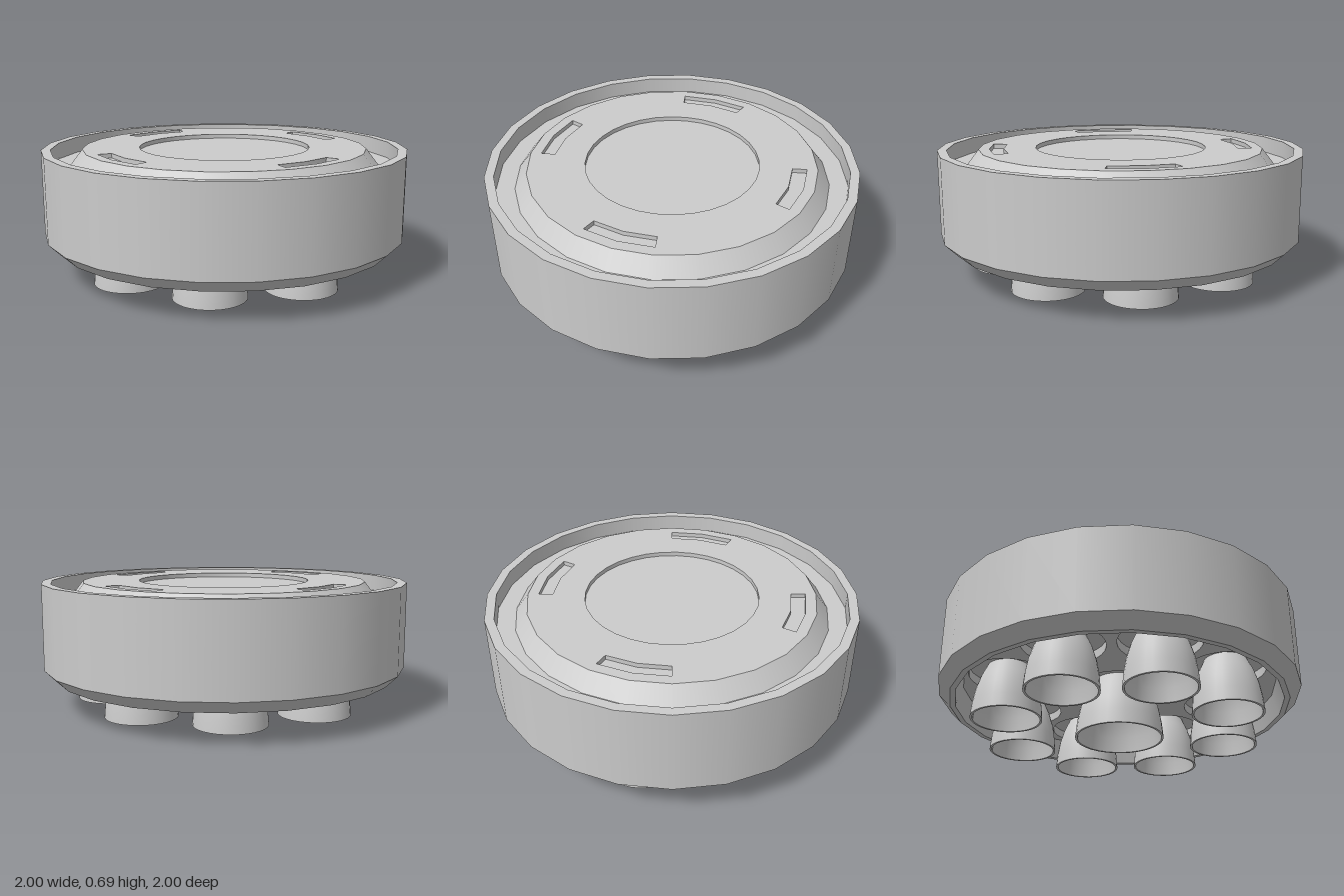
import * as THREE from 'three';
import { mergeGeometries, toCreasedNormals } from 'three/addons/utils/BufferGeometryUtils.js';

const SIDES = 24;
const material = new THREE.MeshStandardMaterial({ color: 0xcccccc });

function addMesh(parent, name, geometry) {
  const mesh = new THREE.Mesh(geometry, material);
  mesh.name = name;
  parent.add(mesh);
  return mesh;
}

// Lathe with a hard edge at every profile point, smooth around the axis
function bandedLathe(profile, sides) {
  const bands = [];
  for (let i = 0; i < profile.length - 1; i++) {
    const pair = [profile[i], profile[i + 1]].map(([r, y]) => new THREE.Vector2(r, y));
    bands.push(new THREE.LatheGeometry(pair, sides));
  }
  return mergeGeometries(bands);
}

function ringPoints(r, sides, cx = 0, cy = 0) {
  return Array.from({ length: sides }, (_, i) => {
    const a = (i / sides) * Math.PI * 2;
    return new THREE.Vector2(cx + r * Math.cos(a), cy + r * Math.sin(a));
  });
}

// Round horizontal plate pierced by holes
function piercedPlate(radius, holes, thickness, y) {
  const shape = new THREE.Shape(ringPoints(radius, SIDES));
  shape.holes = holes.map((points) => new THREE.Path(points));
  const geometry = new THREE.ExtrudeGeometry(shape, { depth: thickness, bevelEnabled: false });
  geometry.rotateX(-Math.PI / 2).translate(0, y, 0);
  return toCreasedNormals(geometry, Math.PI / 6);
}

function disc(radius, y, facing) {
  return new THREE.CircleGeometry(radius, SIDES).rotateX((-facing * Math.PI) / 2).translate(0, y, 0);
}

// Hollow bell nozzle, thin wall, closed at the throat
function nozzleGeometry(mouth, bottom, top) {
  const h = top - bottom;
  const outline = [[1, 0], [0.965, 0.25], [0.9, 0.5], [0.78, 0.75], [0.6, 1]];
  const wall = 0.012;
  const outer = outline.map(([r, t]) => new THREE.Vector2(r * mouth, bottom + t * h));
  const inner = outline.map(([r, t]) => new THREE.Vector2(r * mouth - wall, bottom + t * h)).reverse();
  return mergeGeometries([
    new THREE.LatheGeometry(outer, 32),
    new THREE.LatheGeometry(inner, 32),
    bandedLathe([[mouth - wall, bottom], [mouth, bottom]], 32),
    disc(0.6 * mouth, top - 0.01, -1),
  ]);
}

export function createModel() {
  const model = new THREE.Group();
  model.name = 'engineStage';

  // Outer shell: skirt, lower bevel, side, rim, groove and raised deck edge
  addMesh(model, 'shell', bandedLathe([
    [0.87, 0.28], [0.905, 0.165], [0.935, 0.165], [1, 0.23], [1, 0.69],
    [0.95, 0.69], [0.95, 0.6], [0.85, 0.6], [0.78, 0.69],
  ], SIDES));

  // Top deck with a round recess and four curved slots
  const deckHoles = [ringPoints(0.47, 32)];
  for (let i = 0; i < 4; i++) {
    const at = (r, step) => {
      const a = (i * Math.PI) / 2 + (step * Math.PI) / 12;
      return new THREE.Vector2(r * Math.cos(a), r * Math.sin(a));
    };
    deckHoles.push([at(0.645, -1), at(0.645, 0), at(0.645, 1), at(0.722, 1), at(0.722, 0), at(0.722, -1)]);
  }
  addMesh(model, 'deck', piercedPlate(0.78, deckHoles, 0.025, 0.665));
  addMesh(model, 'recessFloor', disc(0.78, 0.666, 1));

  // Underside plate with a socket for every nozzle
  const spots = Array.from({ length: 8 }, (_, i) => {
    const a = (i * Math.PI) / 4;
    return [0.63 * Math.cos(a), 0.63 * Math.sin(a)];
  });
  const sockets = [ringPoints(0.27, 32), ...spots.map(([x, z]) => ringPoints(0.215, 32, x, z))];
  addMesh(model, 'enginePlate', piercedPlate(0.87, sockets, 0.05, 0.28));
  addMesh(model, 'socketFloor', disc(0.87, 0.329, -1));

  // One large nozzle in the middle, eight smaller around it
  addMesh(model, 'centreNozzle', nozzleGeometry(0.243, 0, 0.335));
  const small = nozzleGeometry(0.19, 0.03, 0.335);
  spots.forEach(([x, z], i) => {
    addMesh(model, `outerNozzle${i + 1}`, small).position.set(x, 0, z);
  });

  return model;
}
